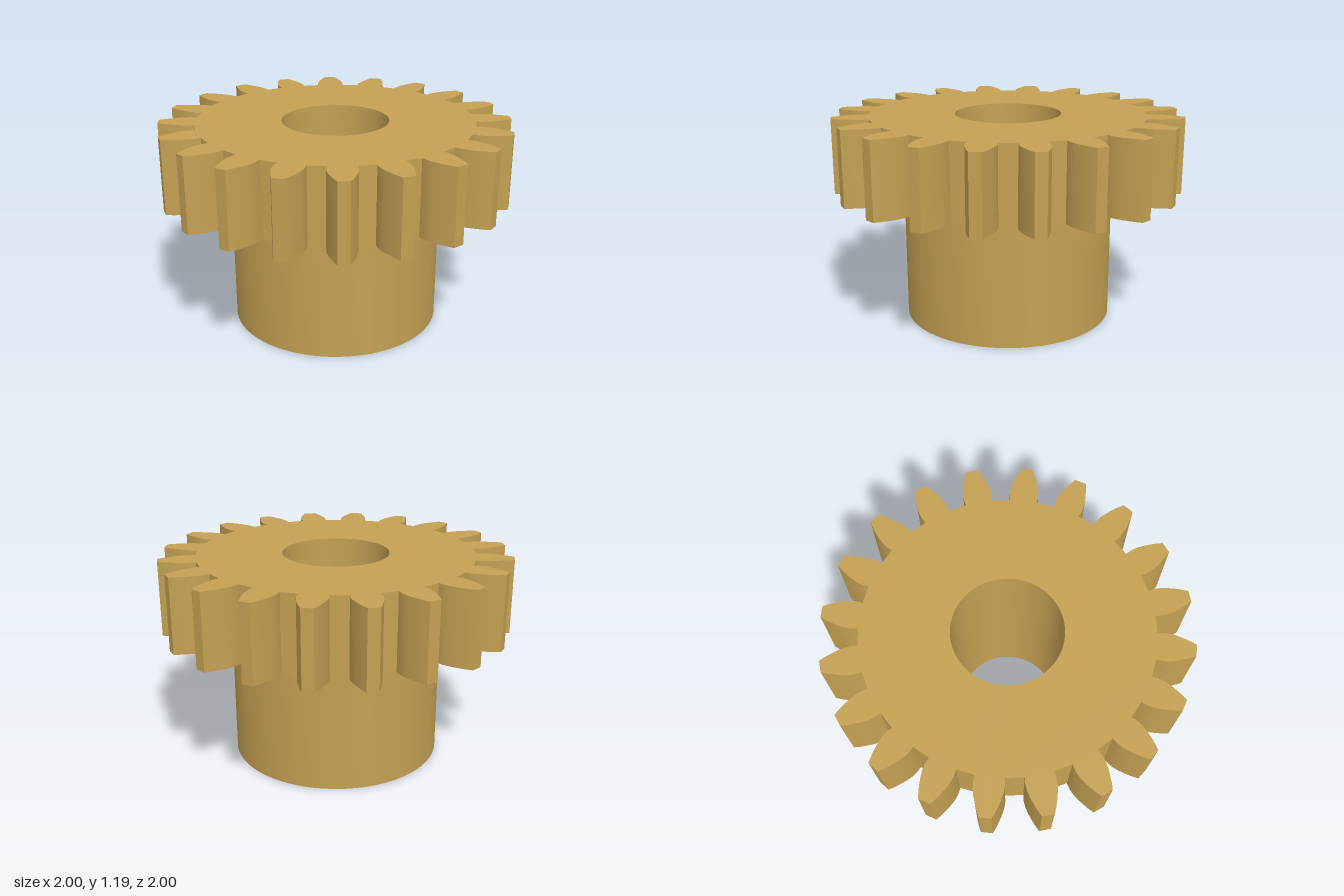
import * as THREE from 'three';
import { toCreasedNormals } from 'three/addons/utils/BufferGeometryUtils.js';

const TEETH = 20;
const BORE = 0.305, HUB = 0.605;
const HUB_TOP = 0.76, GEAR_TOP = 1.19;

// One flank of a tooth, root to tip: [distance from axis, half width]
const FLANK = [[0.79, 0.075], [0.825, 0.08], [0.86, 0.078], [0.895, 0.071], [0.93, 0.06], [0.965, 0.048], [1.0, 0.032]];

function gearShape() {
  const tooth = [
    ...FLANK.map(([r, w]) => new THREE.Vector2(r, -w)),
    ...FLANK.map(([r, w]) => new THREE.Vector2(r, w)).reverse(),
  ];
  const origin = new THREE.Vector2();
  const outline = [];
  for (let i = 0; i < TEETH; i++) {
    const angle = (i / TEETH) * Math.PI * 2;
    for (const p of tooth) outline.push(p.clone().rotateAround(origin, angle));
  }
  const shape = new THREE.Shape(outline);
  const hole = new THREE.Path();
  hole.absarc(0, 0, BORE, 0, Math.PI * 2, true);
  shape.holes.push(hole);
  return shape;
}

export function createModel() {
  const model = new THREE.Group();
  model.name = 'spurGear';
  const brass = new THREE.MeshStandardMaterial({ color: 0xc4a052 });
  brass.name = 'brass';

  // Toothed disc with the upper part of the bore
  const disc = new THREE.ExtrudeGeometry(gearShape(), {
    depth: GEAR_TOP - HUB_TOP, bevelEnabled: false, curveSegments: 64,
  });
  disc.rotateX(-Math.PI / 2);
  disc.translate(0, HUB_TOP, 0);
  const gear = new THREE.Mesh(toCreasedNormals(disc, 0.45), brass);
  gear.name = 'toothedDisc';
  model.add(gear);

  // Hub sleeve: down the bore, across the base, up the outside
  const profile = [[BORE, HUB_TOP], [BORE, 0], [HUB, 0], [HUB, HUB_TOP]]
    .map(([x, y]) => new THREE.Vector2(x, y));
  const sleeve = new THREE.LatheGeometry(profile, 64);
  const hub = new THREE.Mesh(toCreasedNormals(sleeve, 0.45), brass);
  hub.name = 'hub';
  model.add(hub);

  return model;
}
